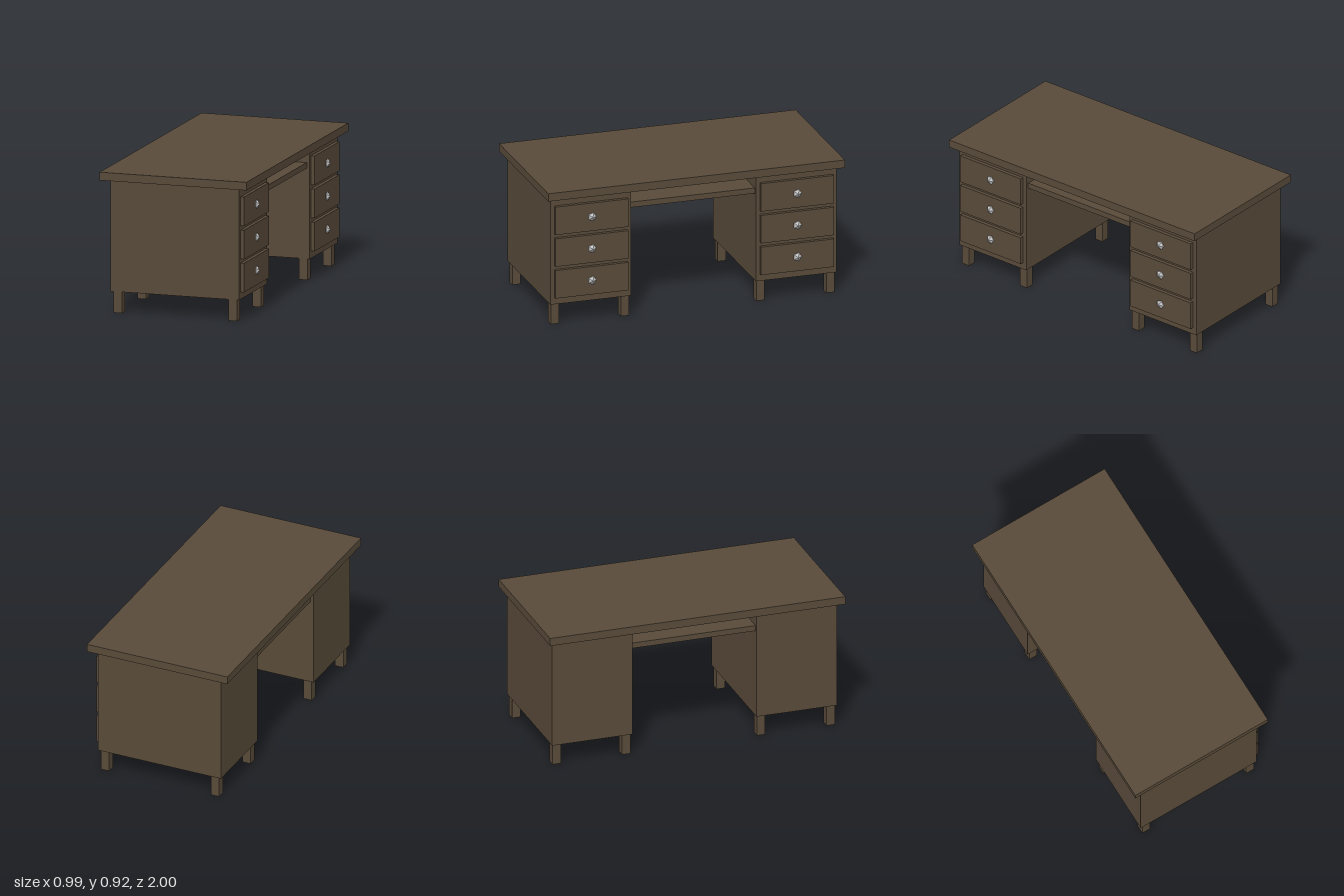
import * as THREE from 'three';

const wood = new THREE.MeshStandardMaterial({ name: 'dark wood', color: 0x584a39 });
const metal = new THREE.MeshStandardMaterial({ name: 'light metal', color: 0xc8c8c8, flatShading: true });

function box(name, size, position, parent) {
  const mesh = new THREE.Mesh(new THREE.BoxGeometry(...size), wood);
  mesh.name = name;
  mesh.position.set(...position);
  parent.add(mesh);
  return mesh;
}

// Faceted knob with one corner pointing out along +x
const knobGeometry = new THREE.IcosahedronGeometry(0.032, 0);
knobGeometry.rotateY(Math.atan(2 / (1 + Math.sqrt(5))));

function createPedestal(name, z) {
  const pedestal = new THREE.Group();
  pedestal.name = name;
  pedestal.position.z = z;

  box('cabinet', [0.87, 0.727, 0.545], [0, 0.5035, 0], pedestal);

  // Four square legs
  for (const x of [-0.389, 0.389]) {
    for (const dz of [-0.236, 0.236]) {
      box('leg', [0.058, 0.14, 0.056], [x, 0.07, dz], pedestal);
    }
  }

  // Three drawers with knobs, opening towards +x
  for (const y of [0.282, 0.498, 0.714]) {
    box('drawerFront', [0.024, 0.19, 0.492], [0.447, y, 0], pedestal);
    const knob = new THREE.Mesh(knobGeometry, metal);
    knob.name = 'drawerKnob';
    knob.position.set(0.449, y + 0.002, 0);
    pedestal.add(knob);
  }
  return pedestal;
}

export function createModel() {
  const desk = new THREE.Group();
  desk.name = 'desk';

  box('desktop', [0.993, 0.053, 2], [0, 0.8935, 0], desk);
  desk.add(createPedestal('leftPedestal', 0.6925));
  desk.add(createPedestal('rightPedestal', -0.6925));

  // Shelf across the knee space
  box('kneeShelf', [0.83, 0.037, 0.84], [0, 0.75, 0], desk);
  return desk;
}
